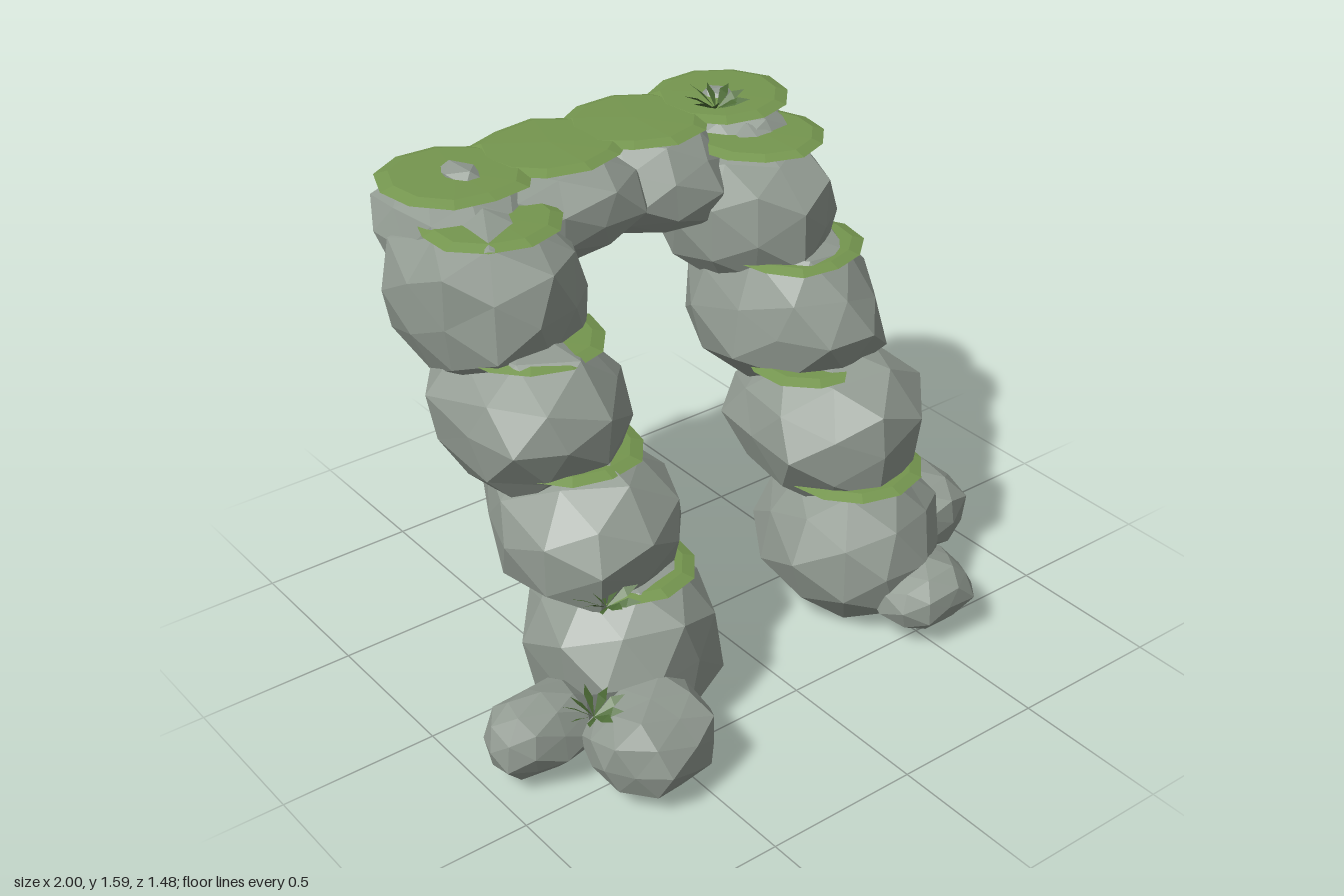
import * as THREE from 'three';

const stone = new THREE.MeshStandardMaterial({ name: 'stone', color: 0x929b92, flatShading: true });
const moss = new THREE.MeshStandardMaterial({ name: 'moss', color: 0x75964f, flatShading: true });
const leaf = new THREE.MeshStandardMaterial({ name: 'leaf', color: 0x4d6c36, side: THREE.DoubleSide, flatShading: true });

// Repeatable value in 0..1 for a point and seed
function hash(x, y, z, seed) {
  const s = Math.sin(Math.round(x * 100) * 12.9898 + Math.round(y * 100) * 78.233 +
    Math.round(z * 100) * 37.719 + seed * 17.17) * 43758.5453;
  return s - Math.floor(s);
}

// Faceted boulder fitted to [min, max] ranges on each axis; a higher peak lowers its shoulders
function rock(name, seed, xr, yr, zr, { detail = 1, peak = 0.92 } = {}) {
  const g = new THREE.IcosahedronGeometry(1, detail);
  const p = g.attributes.position;
  const v = new THREE.Vector3();
  const up = new THREE.Vector3(0, 1, 0);
  const shape = (n, e) => Math.sign(n) * Math.pow(Math.abs(n), e);
  for (let i = 0; i < p.count; i++) {
    v.fromBufferAttribute(p, i);
    const r = 0.9 + 0.17 * hash(v.x, v.y, v.z, seed);
    v.applyAxisAngle(up, seed * 1.3);
    v.set(shape(v.x, 0.92), shape(v.y, v.y > 0 ? peak : 0.92), shape(v.z, 0.92)).multiplyScalar(r);
    p.setXYZ(i, v.x, v.y, v.z);
  }
  g.computeBoundingBox();
  const { min, max } = g.boundingBox;
  const fit = (n, a, b, [lo, hi]) => lo + (n - a) / (b - a) * (hi - lo);
  for (let i = 0; i < p.count; i++) {
    p.setXYZ(i, fit(p.getX(i), min.x, max.x, xr), fit(p.getY(i), min.y, max.y, yr), fit(p.getZ(i), min.z, max.z, zr));
  }
  g.computeVertexNormals();
  const m = new THREE.Mesh(g, stone);
  m.name = name;
  return m;
}

// Thin irregular moss cushion with bevelled rim
function mossPad(name, seed, x, y, z, rx, rz, h = 0.032) {
  const profile = [[0, -0.5], [0.8, -0.45], [1, 0], [0.82, 0.4], [0, 0.5]].map(([r, t]) => new THREE.Vector2(r, t * h));
  const g = new THREE.LatheGeometry(profile, 11);
  const p = g.attributes.position;
  for (let i = 0; i < p.count; i++) {
    const spoke = Math.floor(i / profile.length) % 11;
    const k = 0.93 + 0.1 * hash(spoke, 0, 0, seed);
    p.setXYZ(i, p.getX(i) * rx * k, p.getY(i), p.getZ(i) * rz * k);
  }
  g.computeVertexNormals();
  const m = new THREE.Mesh(g, moss);
  m.name = name;
  m.position.set(x, y, z);
  return m;
}

// Tuft of pointed, slightly twisted blades fanning out from one point
function fern(name, x, y, z, radius, height) {
  const pos = [];
  const blades = 9;
  for (let i = 0; i < blades; i++) {
    const a = i / blades * Math.PI * 2 + 0.2;
    const r = radius * (0.8 + 0.3 * hash(i, 1, 2, x));
    const h = height * (0.65 + 0.35 * hash(i, 3, 4, x));
    const at = (d, w, up) => [Math.cos(a) * d - Math.sin(a) * w, up, Math.sin(a) * d + Math.cos(a) * w];
    const base = at(0, 0, 0), l = at(r * 0.6, 0.013, h * 0.75 - 0.008);
    const rt = at(r * 0.6, -0.013, h * 0.75 + 0.008), tip = at(r, 0, h);
    pos.push(...base, ...l, ...rt, ...l, ...tip, ...rt);
  }
  const g = new THREE.BufferGeometry();
  g.setAttribute('position', new THREE.Float32BufferAttribute(pos, 3));
  g.computeVertexNormals();
  const m = new THREE.Mesh(g, leaf);
  m.name = name;
  m.position.set(x, y, z);
  return m;
}

export function createModel() {
  const model = new THREE.Group();
  model.name = 'rockArch';

  // Leaning legs: height and depth ranges shared, widths per side
  const levels = [
    { y: [0.01, 0.53], z: [-0.15, 0.5], r: [-0.72, -0.17], l: [0.19, 0.76], peak: 0.92 },
    { y: [0.33, 0.87], z: [-0.29, 0.37], r: [-0.74, -0.18], l: [0.19, 0.77], peak: 1.2 },
    { y: [0.68, 1.19], z: [-0.49, 0.2], r: [-0.8, -0.25], l: [0.21, 0.75], peak: 1.2 },
    { y: [0.98, 1.5], z: [-0.62, 0.01], r: [-0.79, -0.25], l: [0.19, 0.72], peak: 0.92 },
    { y: [1.2, 1.54], z: [-0.74, -0.2], r: [-0.74, -0.28], l: [0.25, 0.72], peak: 0.92 },
  ];
  for (const side of ['r', 'l']) {
    const leg = new THREE.Group();
    leg.name = side === 'r' ? 'rightLeg' : 'leftLeg';
    levels.forEach((s, i) => leg.add(rock('legStone', i + (side === 'r' ? 1 : 11), s[side], s.y, s.z, { peak: s.peak })));
    model.add(leg);
  }

  // Lintel stones bridging the legs
  model.add(rock('lintelStone', 21, [-0.48, 0.06], [1.22, 1.54], [-0.73, -0.19]));
  model.add(rock('lintelStone', 22, [-0.1, 0.42], [1.2, 1.54], [-0.72, -0.19]));

  // Stone tips showing through the moss cap
  model.add(rock('stoneTip', 23, [-0.56, -0.45], [1.51, 1.565], [-0.55, -0.39], { detail: 0 }));
  model.add(rock('stoneTip', 24, [0.4, 0.51], [1.51, 1.565], [-0.53, -0.42], { detail: 0 }));

  // Loose boulders at the feet
  model.add(rock('footBoulder', 31, [-1.0, -0.65], [0.04, 0.29], [0.2, 0.45]));
  model.add(rock('footBoulder', 32, [-0.79, -0.41], [0.02, 0.3], [0.37, 0.74]));
  model.add(rock('footBoulder', 33, [0.37, 0.69], [0.05, 0.27], [0.32, 0.62]));
  model.add(rock('footBoulder', 34, [0.63, 1.0], [0.01, 0.3], [-0.08, 0.28]));

  // Moss cap along the top
  [[-0.515, 0.235, 0.235], [-0.18, 0.26, 0.22], [0.13, 0.25, 0.22], [0.465, 0.235, 0.235]].forEach(([x, rx, rz], i) =>
    model.add(mossPad('topMoss', i + 1, x, 1.531 + i * 0.001, -0.48, rx, rz)));

  // Moss on the ledges between leg stones
  [[0.49, 0.2], [0.82, 0.01], [1.14, -0.12], [1.46, -0.29]].forEach(([y, z], i) => {
    model.add(mossPad('ledgeMoss', i + 41, [-0.42, -0.47, -0.51, -0.52][i], y, z, 0.225, 0.21));
    model.add(mossPad('ledgeMoss', i + 51, [0.48, 0.46, 0.49, 0.475][i], y, z, 0.225, 0.21));
  });

  // Fern tufts
  model.add(fern('fern', 0.38, 1.54, -0.39, 0.1, 0.06));
  model.add(fern('fern', -0.75, 0.27, 0.49, 0.1, 0.05));
  model.add(fern('fern', -0.6, 0.505, 0.35, 0.1, 0.055));

  return model;
}
